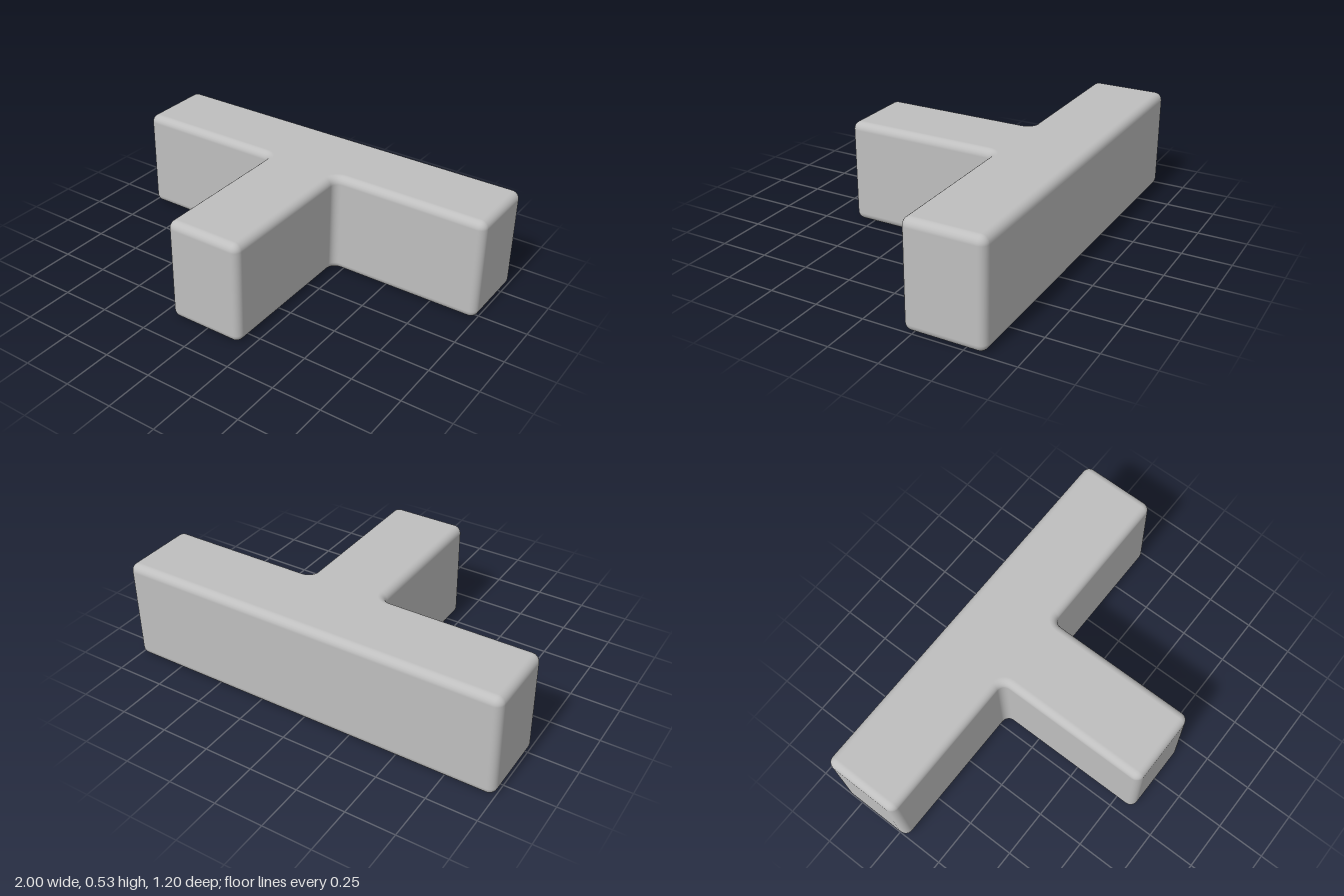
import * as THREE from 'three';

const HEIGHT = 0.533, R = 0.04, STEPS = 6;

// Plan corners of the T as [x, z]: crossbar at the back, stem to the front
const CORNERS = [[-1, -0.6], [1, -0.6], [1, -0.2], [0.2, -0.2], [0.2, 0.6], [-0.2, 0.6], [-0.2, -0.2], [-1, -0.2]]
  .map(([x, z]) => new THREE.Vector2(x, z));

// Outline with every corner rounded: points and outward normals
function roundedOutline(corners) {
  const out = [], count = corners.length;
  corners.forEach((p, i) => {
    const d0 = p.clone().sub(corners[(i + count - 1) % count]).normalize();
    const d1 = corners[(i + 1) % count].clone().sub(p).normalize();
    const side = Math.sign(d0.cross(d1)); // +1 convex, -1 concave
    const n0 = new THREE.Vector2(d0.y, -d0.x), n1 = new THREE.Vector2(d1.y, -d1.x);
    const centre = p.clone().addScaledVector(n0, -side * R).addScaledVector(n1, -side * R);
    for (let k = 0; k <= STEPS; k++) {
      const t = (k / STEPS) * Math.PI / 2;
      const n = n0.clone().multiplyScalar(Math.cos(t)).addScaledVector(n1, Math.sin(t));
      out.push({ n, p: centre.clone().addScaledVector(n, side * R) });
    }
  });
  return out;
}

// Stack outlines upward, inset along a quarter round at the bottom and top
function roundedPrism(corners) {
  const outline = roundedOutline(corners), N = outline.length;
  const pos = [], nor = [], index = [];
  const rings = 2 * (STEPS + 1);
  for (let j = 0; j < rings; j++) {
    const top = j > STEPS;
    const a = ((top ? j - STEPS - 1 : j - STEPS) / STEPS) * Math.PI / 2;
    const c = Math.cos(a), s = Math.sin(a);
    for (const { p, n } of outline) {
      const inset = R * (1 - c);
      pos.push(p.x - n.x * inset, (top ? HEIGHT - R : R) + R * s, p.y - n.y * inset);
      nor.push(n.x * c, s, n.y * c);
    }
  }
  for (let j = 0; j < rings - 1; j++) {
    for (let i = 0; i < N; i++) {
      const a = j * N + i, b = j * N + (i + 1) % N;
      index.push(a, a + N, b, a + N, b + N, b);
    }
  }
  // Flat caps
  const flat = outline.map(({ p, n }) => p.clone().addScaledVector(n, -R));
  const last = (rings - 1) * N;
  for (const [a, b, c] of THREE.ShapeUtils.triangulateShape(flat, [])) {
    const turn = flat[b].clone().sub(flat[a]).cross(flat[c].clone().sub(flat[a]));
    const [u, v] = turn > 0 ? [b, c] : [c, b];
    index.push(a, u, v, last + a, last + v, last + u);
  }
  const g = new THREE.BufferGeometry();
  g.setAttribute('position', new THREE.Float32BufferAttribute(pos, 3));
  g.setAttribute('normal', new THREE.Float32BufferAttribute(nor, 3));
  g.setIndex(index);
  return g;
}

export function createModel() {
  const grey = new THREE.MeshStandardMaterial({ color: 0xbfbfbf });
  grey.name = 'light grey';
  const block = new THREE.Mesh(roundedPrism(CORNERS), grey);
  block.name = 'teeBlock';
  const model = new THREE.Group();
  model.name = 'roundedTeeBlock';
  model.add(block);
  return model;
}
